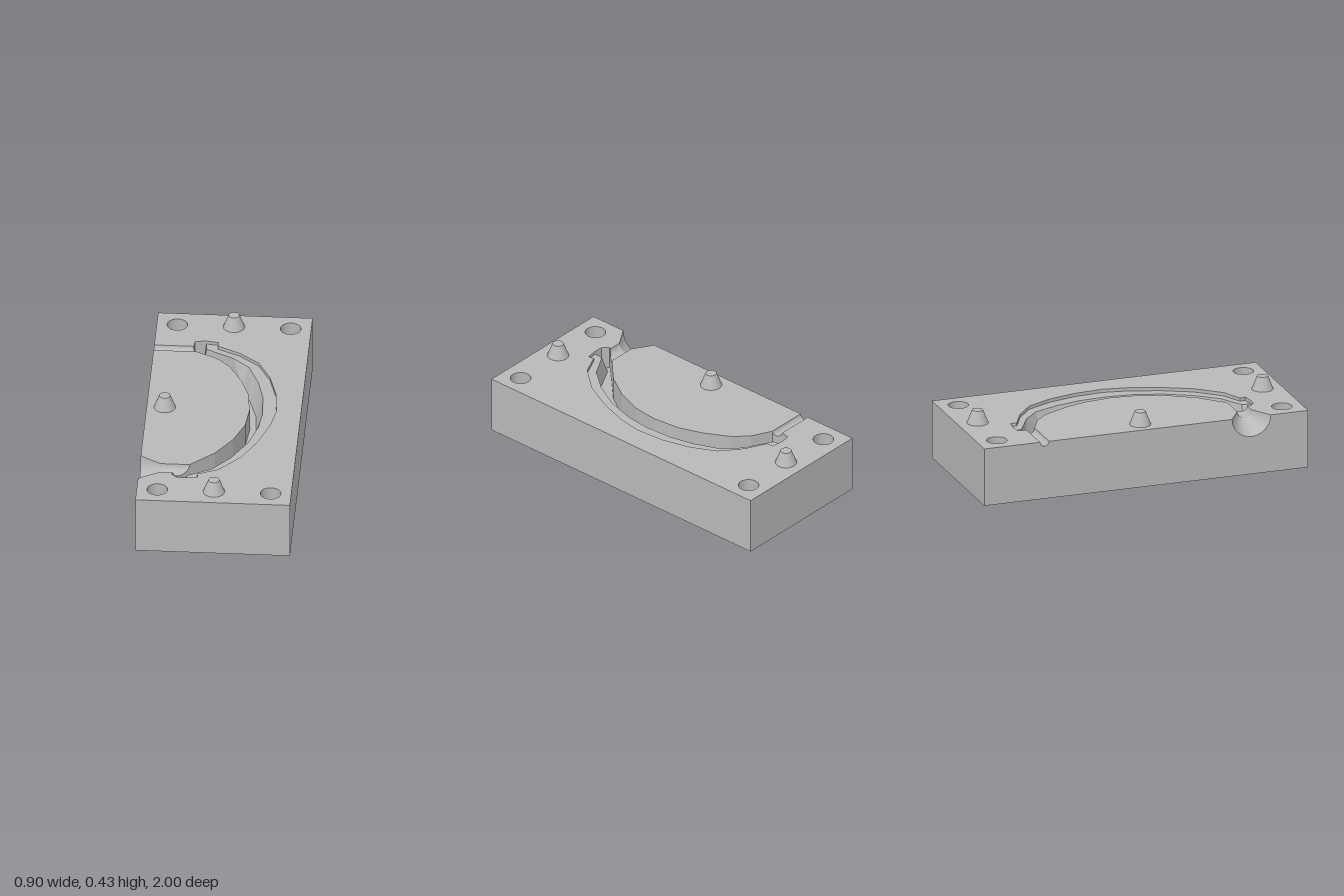
import * as THREE from 'three';

const TOP = 0.35, FLOOR = 0.21, LEDGE = 0.33, ARC = 12;
const stone = new THREE.MeshStandardMaterial({ color: 0xb8b8b8, side: THREE.DoubleSide });
stone.name = 'plain grey';

// Channel stations from back to front: inner rim, foot of slope, head of slope, outer rim (x, z)
const stations = [
  [-0.215, -0.705, -0.165, -0.715, -0.15, -0.715, -0.08, -0.705],
  [-0.22, -0.655, -0.165, -0.66, -0.145, -0.66, -0.08, -0.665],
  [-0.2, -0.6, -0.13, -0.64, -0.11, -0.64, -0.05, -0.65],
  [-0.08, -0.54, 0, -0.58, 0.02, -0.57, 0.05, -0.6],
  [0, -0.46, 0.075, -0.46, 0.115, -0.48, 0.17, -0.5],
  [0.08, -0.31, 0.13, -0.31, 0.18, -0.32, 0.245, -0.35],
  [0.13, -0.17, 0.175, -0.15, 0.215, -0.17, 0.29, -0.18],
  [0.15, 0, 0.187, 0, 0.225, 0, 0.305, 0],
  [0.135, 0.16, 0.17, 0.16, 0.21, 0.15, 0.28, 0.15],
  [0.075, 0.32, 0.115, 0.32, 0.16, 0.32, 0.22, 0.33],
  [-0.02, 0.47, 0.035, 0.47, 0.075, 0.48, 0.135, 0.5],
  [-0.16, 0.605, -0.07, 0.61, -0.03, 0.61, 0.01, 0.645],
  [-0.25, 0.695, -0.22, 0.69, -0.17, 0.69, -0.11, 0.7],
  [-0.26, 0.71, -0.225, 0.742, -0.175, 0.745, -0.105, 0.735],
];
const at = (i, k) => [stations[i][2 * k], stations[i][2 * k + 1]];
const last = stations.length - 1;

// Surface through rows of points
function loft(rows, smooth) {
  const n = rows[0].length, index = [];
  for (let i = 0; i < rows.length - 1; i++) {
    for (let j = 0; j < n - 1; j++) {
      const a = i * n + j, b = a + n;
      index.push(a, b, a + 1, b, b + 1, a + 1);
    }
  }
  let g = new THREE.BufferGeometry();
  g.setAttribute('position', new THREE.Float32BufferAttribute(rows.flat(2), 3));
  g.setIndex(index);
  if (!smooth) g = g.toNonIndexed();
  g.computeVertexNormals();
  return g;
}

// Half-round arc sunk below the top, between two points on the top face
function arc([x0, z0], [x1, z1]) {
  const r = Math.abs(z1 - z0) / 2, pts = [];
  for (let i = 0; i <= ARC; i++) {
    const a = (Math.PI * i) / ARC, t = (1 - Math.cos(a)) / 2;
    pts.push([x0 + (x1 - x0) * t, TOP - r * Math.sin(a), z0 + (z1 - z0) * t]);
  }
  return pts;
}

// Flat horizontal face from (x, z) points, with round holes
function face(points, y, holes, up) {
  const s = up ? -1 : 1;
  const shape = new THREE.Shape(points.map(([x, z]) => new THREE.Vector2(x, s * z)));
  for (const [x, z] of holes) {
    shape.holes.push(new THREE.Path().absarc(x, s * z, 0.06, 0, Math.PI * 2, true));
  }
  return new THREE.ShapeGeometry(shape, 16).rotateX((s * Math.PI) / 2).translate(0, y, 0);
}

export function createModel() {
  const group = new THREE.Group();
  const add = (name, geometry) => {
    const mesh = new THREE.Mesh(geometry, stone);
    mesh.name = name;
    group.add(mesh);
    return mesh;
  };
  const bolts = [[-0.33, -0.88], [0.33, -0.88], [-0.33, 0.88], [0.33, 0.88]];

  // Top face: outer land around the channel, and the inner island
  const outerRim = stations.map((_, i) => at(i, 3)).reverse();
  add('outerLand', face([
    [-0.45, -1], [0.45, -1], [0.45, 1], [-0.45, 1], [-0.45, 0.77], [-0.33, 0.695],
    at(last - 1, 0), at(last, 0), at(last, 1), at(last, 2), ...outerRim,
    at(0, 2), at(0, 1), at(0, 0), at(1, 0), [-0.45, -0.655],
  ], TOP, bolts, true));
  const innerRim = stations.slice(2, last - 1).map((s) => [s[0], s[1]]);
  add('innerIsland', face([[-0.45, -0.6], ...innerRim, [-0.33, 0.605], [-0.45, 0.53]], TOP, [], true));

  // Underside and plain walls
  const corners = [[-0.45, -1], [0.45, -1], [0.45, 1], [-0.45, 1]];
  add('underside', face(corners, 0, bolts, false));
  const wallRow = (y) => [[-0.45, y, 1], [0.45, y, 1], [0.45, y, -1], [-0.45, y, -1]];
  add('sideWalls', loft([wallRow(TOP), wallRow(0)]));

  // Wall with the mouths of the pouring funnel and the vent
  const funnelMouth = arc([-0.45, 0.53], [-0.45, 0.77]);
  const ventMouth = arc([-0.45, -0.655], [-0.45, -0.6]);
  const notches = [...ventMouth, ...funnelMouth].reverse().map(([, y, z]) => [z, y]);
  const outline = [[-1, 0], [1, 0], [1, TOP], ...notches, [-1, TOP]];
  add('notchedWall', new THREE.ShapeGeometry(
    new THREE.Shape(outline.map(([z, y]) => new THREE.Vector2(z, y)))
  ).rotateY(-Math.PI / 2).translate(-0.45, 0, 0));

  // Half-round passages into the channel
  const ventEnd = arc(at(1, 0), at(2, 0));
  const funnelEnd = arc(at(last - 2, 0), at(last - 1, 0));
  const throat = arc([-0.33, 0.605], [-0.33, 0.695]);
  add('vent', loft([ventMouth, ventEnd], true));
  add('funnelCone', loft([funnelMouth, throat], true));
  add('funnelThroat', loft([throat, funnelEnd], true));

  // Channel: inner wall, floor, steep slope, shallow ledge, outer wall
  const section = (s, y = TOP) => [
    [s[0], y, s[1]], [s[0], FLOOR, s[1]], [s[2], FLOOR, s[3]],
    [s[4], LEDGE, s[5]], [s[6], LEDGE, s[7]], [s[6], TOP, s[7]],
  ];
  const rows = [];
  stations.forEach((s, i) => {
    rows.push(section(s));
    const end = i === 1 ? ventEnd : i === last - 2 ? funnelEnd : null;
    if (!end) return;
    // the inner wall dips where a passage opens into it
    for (let k = 1; k < ARC; k++) {
      const t = (1 - Math.cos((Math.PI * k) / ARC)) / 2;
      rows.push(section(s.map((v, j) => v + (stations[i + 1][j] - v) * t), end[k][1]));
    }
  });
  add('channel', loft(rows));
  for (const row of [rows[0], rows[rows.length - 1]]) {
    add('channelEnd', loft([row, row.map(([x, , z]) => [x, TOP, z])]));
  }

  // Bolt holes
  for (const [x, z] of bolts) {
    add('boltHole', new THREE.CylinderGeometry(0.06, 0.06, TOP, 32, 1, true)).position.set(x, TOP / 2, z);
  }

  // Tapered locating pegs
  for (const [x, z] of [[0, -0.88], [0, 0.88], [-0.345, 0]]) {
    add('locatingPeg', new THREE.CylinderGeometry(0.032, 0.063, 0.08, 32)).position.set(x, TOP + 0.04, z);
  }
  return group;
}
